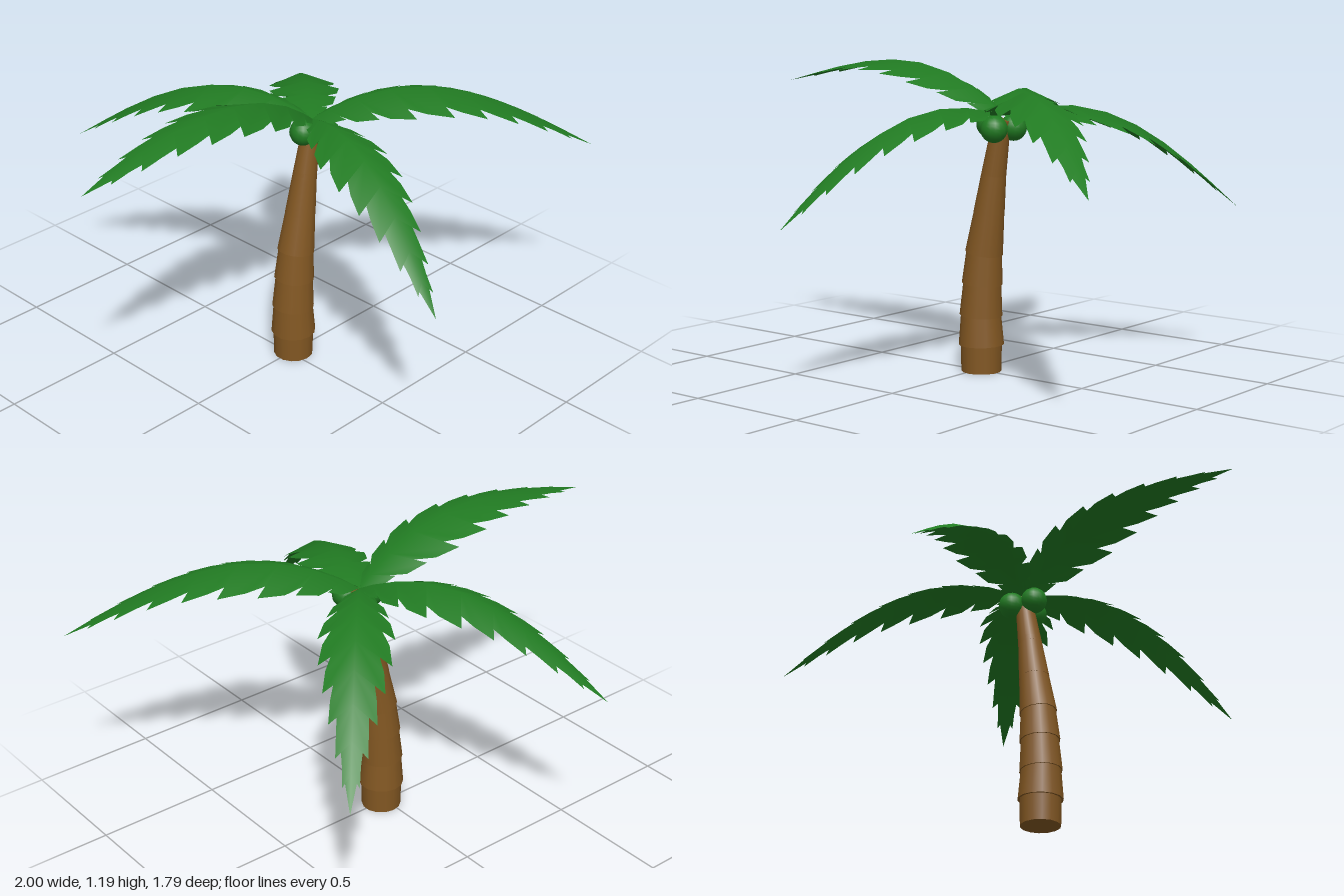
import * as THREE from 'three';
import { mergeVertices } from 'three/addons/utils/BufferGeometryUtils.js';

const leafGreen = new THREE.MeshStandardMaterial({ name: 'leafGreen', color: 0x217b22, side: THREE.DoubleSide });
const barkBrown = new THREE.MeshStandardMaterial({ name: 'barkBrown', color: 0x825722 });

const CROWN = new THREE.Vector3(0.12, 1.0, 0);

// Point on a unit-length frond: arched midrib, blades drooping to both sides
function frondPoint(t, w) {
  const arch = 0.56 * t * (1 - t) * (1 + 0.75 * (0.5 - t));
  return new THREE.Vector3(t, arch - (0.48 - 0.3 * t) * Math.abs(w), w);
}

// Frond with saw-toothed edges, built tooth by tooth from the midrib outwards
function frondGeometry() {
  const teeth = [[0.1, 0.068], [0.2, 0.112], [0.32, 0.138], [0.45, 0.13],
    [0.57, 0.109], [0.69, 0.084], [0.81, 0.056], [0.91, 0.03], [1, 0]];
  const pos = [], index = [];
  for (const side of [1, -1]) {
    let rib = frondPoint(0, 0), notch = frondPoint(0.025, side * 0.025);
    teeth.forEach(([t, w], k) => {
      const last = k === teeth.length - 1;
      const tip = frondPoint(t, side * w);
      const shoulder = frondPoint(notch.x + 0.4 * (t - notch.x), side * (0.3 * Math.abs(notch.z) + 0.7 * w));
      const nextRib = frondPoint(t - 0.35 * w - 0.03, 0);
      const outline = last ? [rib, notch, tip] : [rib, notch, shoulder, tip, nextRib];
      const b = pos.length / 3;
      for (const p of outline) pos.push(p.x, p.y, p.z);
      for (let i = 1; i < outline.length - 1; i++) {
        index.push(b, ...(side > 0 ? [b + i, b + i + 1] : [b + i + 1, b + i]));
      }
      notch = nextRib.clone().lerp(tip, 0.66);
      rib = nextRib;
    });
  }
  const geo = new THREE.BufferGeometry();
  geo.setAttribute('position', new THREE.Float32BufferAttribute(pos, 3));
  geo.setIndex(index);
  const smooth = mergeVertices(geo);
  smooth.computeVertexNormals();
  return smooth;
}

function createTrunk() {
  const trunk = new THREE.Group();
  trunk.name = 'trunk';
  // x, y, lower radius, upper radius of each flared bark section
  const sections = [[0.02, 0, 0.078, 0.08], [0.02, 0.105, 0.088, 0.076], [0.018, 0.22, 0.083, 0.072],
    [0.024, 0.345, 0.079, 0.067], [0.033, 0.465, 0.073, 0.057], [0.057, 0.62, 0.06, 0.046],
    [0.08, 0.77, 0.048, 0.034], [0.115, 0.96]];
  const overlap = 0.025;
  for (let i = 0; i < sections.length - 1; i++) {
    const [x, y, rLow, rHigh] = sections[i];
    const [x2, y2] = sections[i + 1];
    const dx = x2 - x, dy = y2 - y;
    const length = Math.hypot(dx, dy) + overlap;
    const section = new THREE.Mesh(new THREE.CylinderGeometry(rHigh, rLow, length, 14), barkBrown);
    section.geometry.translate(0, length / 2, 0);
    section.name = 'barkSection' + (i + 1);
    section.position.set(x, y, 0);
    section.rotation.z = -Math.atan2(dx, dy);
    trunk.add(section);
  }
  return trunk;
}

export function createModel() {
  const palm = new THREE.Group();
  palm.name = 'palmTree';
  palm.add(createTrunk());

  // Fronds, each aimed from the crown to its tip; the last number is how strongly it arches
  const geo = frondGeometry();
  const fronds = [[-1, 1.09, 0, 0.95], [-0.29, 0.77, -0.9, 1.15], [0.73, 0.63, -0.71, 1.08],
    [1, 0.815, 0.675, 1.1], [-0.18, 0.63, 0.89, 1.08]];
  fronds.forEach(([x, y, z, arch], i) => {
    const d = new THREE.Vector3(x, y, z).sub(CROWN);
    const size = d.length();
    const frond = new THREE.Mesh(geo, leafGreen);
    frond.name = 'frond' + (i + 1);
    frond.position.copy(CROWN);
    frond.rotation.set(0, Math.atan2(-d.z, d.x), Math.atan2(d.y, Math.hypot(d.x, d.z)), 'YZX');
    frond.scale.set(size, size * arch, size);
    palm.add(frond);
  });

  // Coconuts under the crown
  const nut = new THREE.SphereGeometry(0.052, 16, 12);
  [[0.135, 0.953, 0.068], [0.14, 0.953, -0.045], [0.065, 0.965, 0.005]].forEach((p, i) => {
    const coconut = new THREE.Mesh(nut, leafGreen);
    coconut.name = 'coconut' + (i + 1);
    coconut.position.set(...p);
    palm.add(coconut);
  });
  return palm;
}
